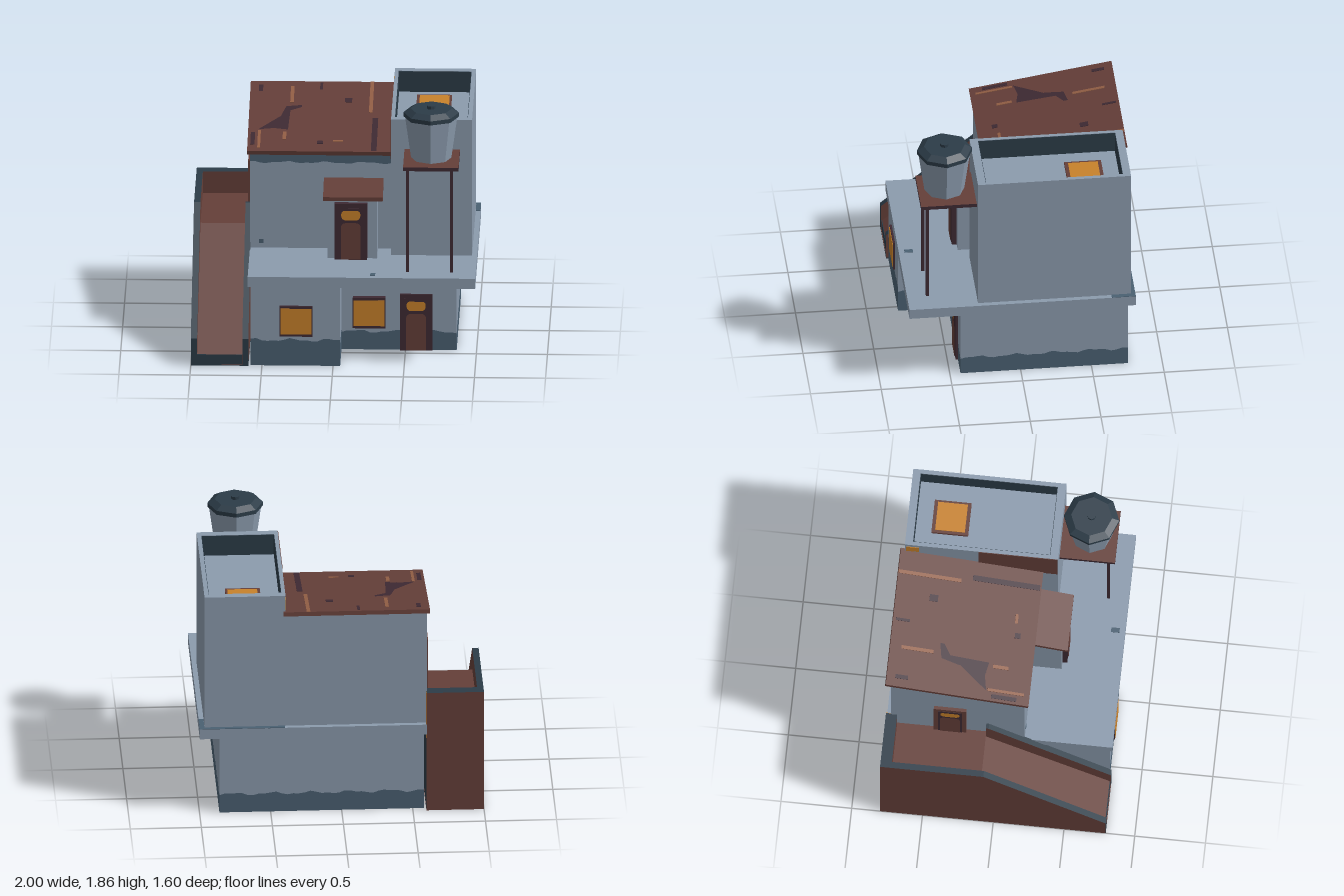
import * as THREE from 'three';

const mat = (name, color, side = THREE.FrontSide) => {
  const m = new THREE.MeshStandardMaterial({ color, side });
  m.name = name;
  return m;
};

export function createModel() {
  const root = new THREE.Group();
  root.name = 'house';
  const plaster = mat('plaster', 0x8b9bad, THREE.DoubleSide);
  const stain = mat('stain', 0x4a6072, THREE.DoubleSide);
  const navy = mat('navy', 0x2c3c48);
  const rust = mat('rust', 0x653f39);
  const plum = mat('plum', 0x3e2a33);
  const amber = mat('amber', 0xc8822b);
  const copper = mat('copper', 0x935f45);

  const add = (name, geo, m, parent = root) => {
    const mesh = new THREE.Mesh(geo, m);
    mesh.name = name;
    parent.add(mesh);
    return mesh;
  };
  const box = (name, m, x0, x1, y0, y1, z0, z1, parent = root) => {
    const mesh = add(name, new THREE.BoxGeometry(x1 - x0, y1 - y0, z1 - z0), m, parent);
    mesh.position.set((x0 + x1) / 2, (y0 + y1) / 2, (z0 + z1) / 2);
    return mesh;
  };
  // Extrudes a (z, y) profile along x
  const profile = (name, m, x0, x1, pts) => {
    const shape = new THREE.Shape(pts.map(p => new THREE.Vector2(...p)));
    const geo = new THREE.ExtrudeGeometry(shape, { depth: x1 - x0, bevelEnabled: false });
    geo.rotateY(-Math.PI / 2);
    geo.translate(x1, 0, 0);
    return add(name, geo, m);
  };
  // Upright wall strip from a to b (x, z) between two height functions
  const strip = (name, m, a, b, low, high) => {
    const len = Math.hypot(b[0] - a[0], b[1] - a[1]);
    const n = Math.max(4, Math.round(len / 0.04)), v = [];
    const at = (i, f) => [a[0] + (b[0] - a[0]) * i / n, f(len * i / n), a[1] + (b[1] - a[1]) * i / n];
    for (let i = 0; i < n; i++) {
      const p = at(i, low), q = at(i + 1, low), r = at(i + 1, high), s = at(i, high);
      v.push(...p, ...q, ...r, ...p, ...r, ...s);
    }
    const geo = new THREE.BufferGeometry();
    geo.setAttribute('position', new THREE.Float32BufferAttribute(v, 3));
    geo.computeVertexNormals();
    add(name, geo, m);
  };
  const wave = (base, amp = 0.009) => t => base + amp * (Math.sin(t * 23 + base * 40) + 0.6 * Math.sin(t * 51));

  // Lower storey: open-bottomed L plan with a damp band at the foot
  const plan = [[-0.58, 0.78], [0.05, 0.78], [0.05, 0.425], [0.86, 0.425], [0.86, -0.76], [-0.58, -0.76]];
  const damp = [0.19, 0.16, 0.135, 0.13, 0.14, 0.16];
  plan.forEach((a, i) => {
    const b = plan[(i + 1) % plan.length], w = wave(damp[i]);
    strip('lowerWallDamp', stain, a, b, () => 0, w);
    strip('lowerWall', plaster, a, b, w, () => 0.592);
  });

  // Terrace slab with a rust underside
  box('terraceSlab', [plaster, plaster, plaster, rust, plaster, plaster], -0.6, 1, 0.59, 0.665, -0.8, 0.8);
  box('slabStainBack', stain, 0.4, 1, 0.664, 0.668, -0.8, -0.77);
  box('slabStainSide', stain, 0.966, 1, 0.664, 0.668, -0.77, -0.63);
  box('slabSpot', stain, 0.26, 0.295, 0.664, 0.668, 0.7, 0.76);

  // Upper wing under the sloping roof
  profile('upperWing', plaster, -0.6, 0.4, [[0.18, 0.66], [0.18, 1.37], [-0.765, 1.524], [-0.765, 0.66]]);
  strip('upperWingStain', stain, [-0.6, 0.184], [0.395, 0.184], wave(1.305, 0.006), () => 1.37);
  box('wallSpot', stain, -0.535, -0.505, 0.7, 0.73, 0.178, 0.184);

  // Sloping roof with weathered patches
  const roof = new THREE.Group();
  roof.name = 'roof';
  roof.position.set(0, 1.478, -0.295);
  roof.rotation.x = 0.162;
  root.add(roof);
  box('roofSheet', rust, -0.62, 0.41, -0.03, 0, -0.511, 0.511, roof);
  [[-0.335, -0.31, -0.43, -0.2], [0.222, 0.248, -0.51, -0.06], [-0.55, -0.53, 0.21, 0.47],
    [-0.375, -0.35, 0.23, 0.34], [-0.02, 0.05, 0.35, 0.37]].forEach(([a, b, c, d]) =>
    box('roofStreak', copper, a, b, -0.002, 0.004, c, d, roof));
  [[-0.13, -0.11, -0.49, -0.39], [0.05, 0.1, -0.27, -0.21], [0.25, 0.29, 0.02, 0.5], [-0.13, -0.09, 0.36, 0.4],
    [-0.56, -0.53, -0.45, -0.36], [-0.6, -0.57, 0.24, 0.42]].forEach(([a, b, c, d]) =>
    box('roofPatch', plum, a, b, -0.002, 0.003, c, d, roof));
  const scar = new THREE.Shape([[-0.25, 0.16], [-0.36, 0.14], [-0.39, 0.02], [-0.42, -0.2], [-0.55, -0.22],
    [-0.55, -0.2], [-0.44, -0.18], [-0.34, -0.2], [-0.33, 0.08], [-0.25, 0.13]].map(p => new THREE.Vector2(...p)));
  const scarMesh = add('roofScar', new THREE.ShapeGeometry(scar), plum, roof);
  scarMesh.rotation.x = -Math.PI / 2;
  scarMesh.position.y = 0.003;

  // Tower with a parapet, recessed deck and skylight
  const [tx0, tx1, tz0, tz1] = [0.395, 0.965, -0.77, 0.312];
  const [ix0, ix1, iz0, iz1] = [0.422, 0.935, -0.715, 0.255];
  box('tower', plaster, tx0, tx1, 0.66, 1.52, tz0, tz1);
  const wall = 1.675;
  box('parapetLeft', [plaster, plaster, plaster, plaster, plaster, plaster], ix1, tx1, 1.52, wall, tz0, tz1);
  box('parapetRight', plaster, tx0, ix0, 1.52, wall, tz0, tz1);
  box('parapetBack', plaster, ix0, ix1, 1.52, wall, tz0, iz0);
  box('parapetFront', plaster, ix0, ix1, 1.52, wall, iz1, tz1);
  const e = 0.003;
  box('parapetLining', navy, ix0, ix0 + e, 1.52, wall - e, iz0, iz1);
  box('parapetLining', navy, ix1 - e, ix1, 1.52, wall - e, iz0, iz1);
  box('parapetLining', navy, ix0, ix1, 1.52, wall - e, iz0, iz0 + e);
  box('parapetLining', navy, ix0, ix1, 1.52, wall - e, iz1 - e, iz1);
  box('towerRustPatch', rust, tx0 - 0.004, tx0 + 0.002, 1.38, wall - e, -0.25, 0.31);
  box('towerAmberPatch', amber, tx0 - 0.004, tx0 + 0.002, 1.56, 1.64, -0.76, -0.67);
  box('skylightFrame', rust, 0.555, 0.8, 1.515, 1.54, -0.6, -0.34);
  box('skylightGlass', amber, 0.575, 0.785, 1.538, 1.545, -0.575, -0.365);

  // Porch and its awning
  box('porch', plaster, -0.05, 0.3, 0.66, 1.115, 0.17, 0.385);
  profile('awning', rust, -0.08, 0.34, [[0.43, 1.105], [0.43, 1.133], [0.18, 1.192], [0.18, 1.162]]);

  // Doors: frame, arched leaf and a small rounded light
  const door = (name, frame, x, y, z, depth, turn = 0) => {
    const g = new THREE.Group();
    g.name = name;
    g.position.set(x, y, z);
    g.rotation.y = turn;
    root.add(g);
    box('doorFrame', frame, -0.115, 0.115, 0, 0.417, -0.01, depth, g);
    box('doorRecess', plum, -0.085, 0.085, 0, 0.385, depth - 0.004, depth + 0.002, g);
    const leaf = new THREE.Shape();
    leaf.moveTo(-0.07, 0.003);
    leaf.lineTo(0.07, 0.003);
    leaf.lineTo(0.07, 0.24);
    leaf.quadraticCurveTo(0.068, 0.272, 0.035, 0.275);
    leaf.lineTo(-0.035, 0.275);
    leaf.quadraticCurveTo(-0.068, 0.272, -0.07, 0.24);
    add('doorLeaf', new THREE.ShapeGeometry(leaf), rust, g).position.z = depth + 0.005;
    const light = new THREE.Shape();
    light.moveTo(-0.04, 0.295);
    light.lineTo(0.04, 0.295);
    light.bezierCurveTo(0.075, 0.3, 0.075, 0.36, 0.05, 0.365);
    light.lineTo(-0.05, 0.365);
    light.bezierCurveTo(-0.075, 0.36, -0.075, 0.3, -0.04, 0.295);
    add('doorLight', new THREE.ShapeGeometry(light), amber, g).position.z = depth + 0.005;
  };
  door('lowerDoor', plum, 0.575, 0, 0.425, 0.016);
  door('terraceDoor', plum, 0.115, 0.664, 0.385, 0.034);
  door('sideDoor', rust, -0.6, 0.75, -0.345, 0.024, -Math.PI / 2);

  // Lower windows
  const window_ = (name, x, y, z, depth) => {
    box(name + 'Frame', plum, x - 0.115, x + 0.115, y - 0.113, y + 0.113, z - 0.01, z + depth);
    box(name + 'Glass', amber, x - 0.11, x + 0.11, y - 0.095, y + 0.095, z + depth - 0.002, z + depth + 0.004);
  };
  window_('leftWindow', -0.26, 0.333, 0.78, 0.014);
  window_('rightWindow', 0.245, 0.285, 0.425, 0.045);

  // Ramp to the side door
  const rx0 = -1, rx1 = -0.595;
  box('rampBase', [navy, rust, rust, rust, navy, rust], rx0, rx1, 0, 0.01, -0.8, 0.795);
  profile('rampBody', [navy, rust], -0.96, rx1 - 0.002,
    [[-0.75, 0.008], [0.785, 0.008], [0.785, 0.08], [-0.09, 0.75], [-0.75, 0.75]]);
  box('rampFoot', navy, -0.955, -0.64, 0.008, 0.08, 0.78, 0.79);
  profile('rampOuterWall', [rust, navy], rx0, -0.955,
    [[-0.75, 0.008], [0.795, 0.008], [0.795, 0.2], [-0.07, 0.91], [-0.75, 0.91]]);
  profile('rampInnerWall', [rust, navy], -0.638, rx1,
    [[-0.09, 0.008], [0.795, 0.008], [0.795, 0.2], [-0.07, 0.91], [-0.09, 0.91]]);
  box('rampBackWall', [navy, rust, navy, rust, rust, rust], rx0, rx1, 0.008, 0.91, -0.8, -0.72);
  box('rampWallPatch', amber, rx1, rx1 + 0.003, 0.56, 0.91, -0.8, -0.77);

  // Water tank on its stand
  const cx = 0.683, cz = 0.52;
  box('tankPlatform', [plum, plum, rust, rust, plum, plum], 0.49, 0.88, 1.43, 1.457, 0.31, 0.705);
  for (const x of [0.52, 0.83]) box('tankPost', plum, x - 0.011, x + 0.011, 0.66, 1.432, 0.645, 0.667);
  const ring = (name, m, rTop, rBot, y0, y1) => {
    const geo = new THREE.CylinderGeometry(rTop, rBot, y1 - y0, 8).toNonIndexed();
    geo.computeVertexNormals();
    add(name, geo, m).position.set(cx, (y0 + y1) / 2, cz);
  };
  ring('tankBody', plaster, 0.185, 0.142, 1.47, 1.78);
  ring('tankLid', navy, 0.195, 0.195, 1.775, 1.805);
  ring('tankLidTop', navy, 0.145, 0.195, 1.805, 1.835);
  ring('tankKnob', navy, 0.03, 0.03, 1.83, 1.857);

  return root;
}
